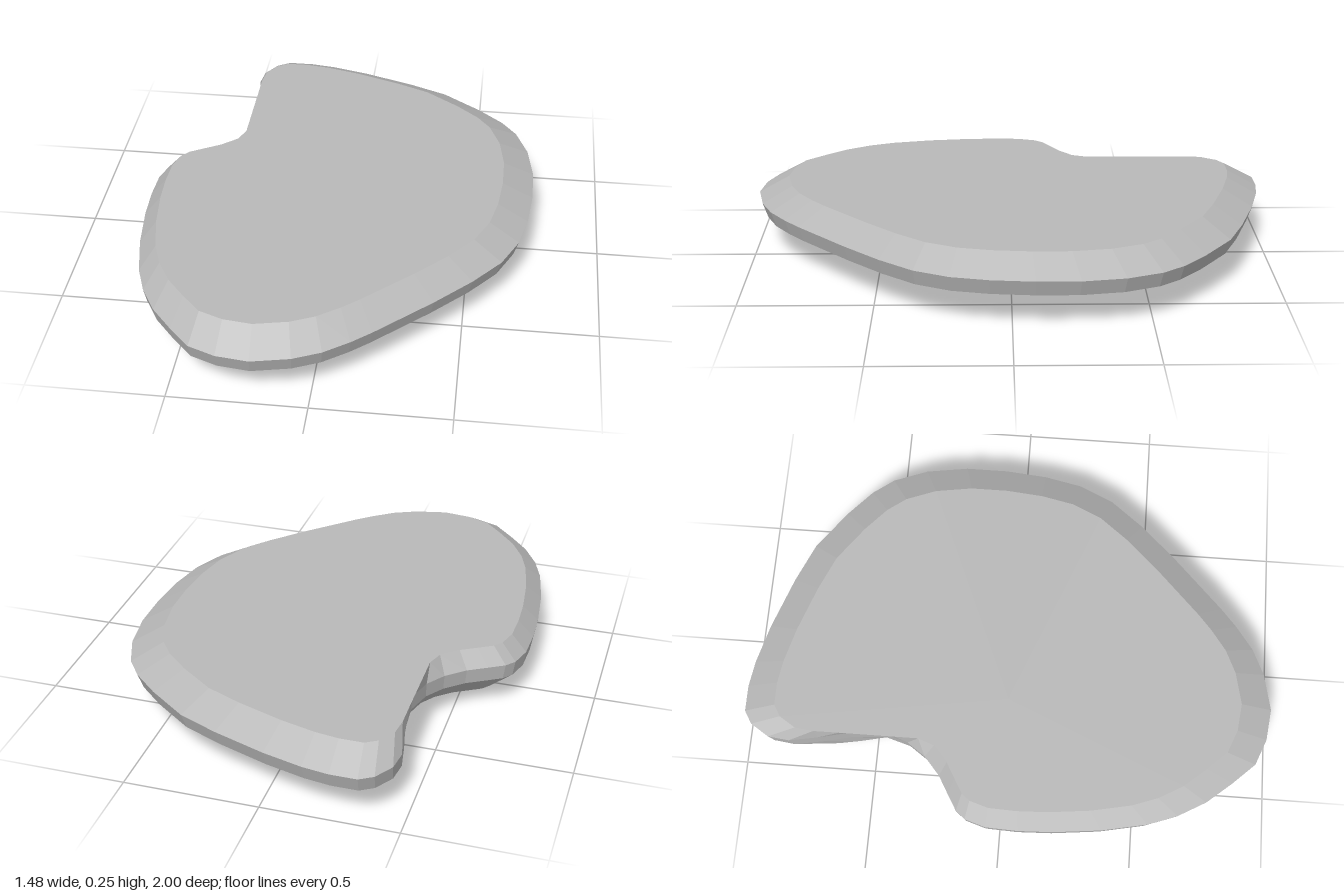
import * as THREE from 'three';

// Outline of the slab seen from above (x, z), clockwise from the back tip
const outline = [
  [-0.35, -1], [-0.25, -1], [-0.15, -0.985], [0, -0.945], [0.2, -0.875], [0.35, -0.81],
  [0.5, -0.7], [0.6, -0.61], [0.66, -0.53], [0.71, -0.4], [0.735, -0.24], [0.735, -0.08],
  [0.72, 0.08], [0.69, 0.22], [0.63, 0.35], [0.53, 0.475], [0.4, 0.61], [0.2, 0.8],
  [0.13, 0.86], [0.04, 0.925], [-0.06, 0.97], [-0.2, 1], [-0.32, 0.985], [-0.42, 0.945],
  [-0.5, 0.86], [-0.58, 0.765], [-0.64, 0.66], [-0.68, 0.55], [-0.715, 0.38], [-0.735, 0.2],
  [-0.74, 0.07], [-0.735, -0.05], [-0.71, -0.13], [-0.68, -0.165], [-0.62, -0.2], [-0.55, -0.24],
  [-0.48, -0.3], [-0.43, -0.37], [-0.4, -0.47], [-0.41, -0.6], [-0.435, -0.71],
  [-0.455, -0.82], [-0.445, -0.9], [-0.4, -0.97],
];
const NOTCH_START = 37, NOTCH_END = 40;
const CENTRE_X = -0.25;

// Height and scale of each ring about the centre, bottom to top
const layers = [[0, 0], [0, 0.07], [0.05, 0.79], [0.13, 0.98], [0.19, 1], [0.255, 0.88], [0.255, 0]];
const TOP_RING = 5;

function ring([y, scale], layer) {
  return outline.map(([x, z], i) => {
    const p = new THREE.Vector3(CENTRE_X + (x - CENTRE_X) * scale, y, z * scale);
    // the top edge runs straight across the notch
    if (layer === TOP_RING && i >= NOTCH_START && i <= NOTCH_END) p.x = -0.43;
    return p;
  });
}

function slabGeometry() {
  const rings = layers.map(ring);
  const points = [];
  const n = outline.length;
  for (let k = 0; k < rings.length - 1; k++) {
    const a = rings[k], b = rings[k + 1];
    for (let i = 0; i < n; i++) {
      const j = (i + 1) % n;
      // the first and last rings are single points, so they need one triangle each
      if (layers[k + 1][1] > 0) points.push(a[i], b[i], b[j]);
      if (layers[k][1] > 0) points.push(a[i], b[j], a[j]);
    }
  }
  const geometry = new THREE.BufferGeometry().setFromPoints(points);
  geometry.computeVertexNormals();
  return geometry;
}

export function createModel() {
  const stone = new THREE.MeshStandardMaterial({ color: 0xb8b8b8, flatShading: true });
  stone.name = 'stone grey';
  const slab = new THREE.Mesh(slabGeometry(), stone);
  slab.name = 'stoneSlab';
  const group = new THREE.Group();
  group.name = 'steppingStone';
  group.add(slab);
  return group;
}
